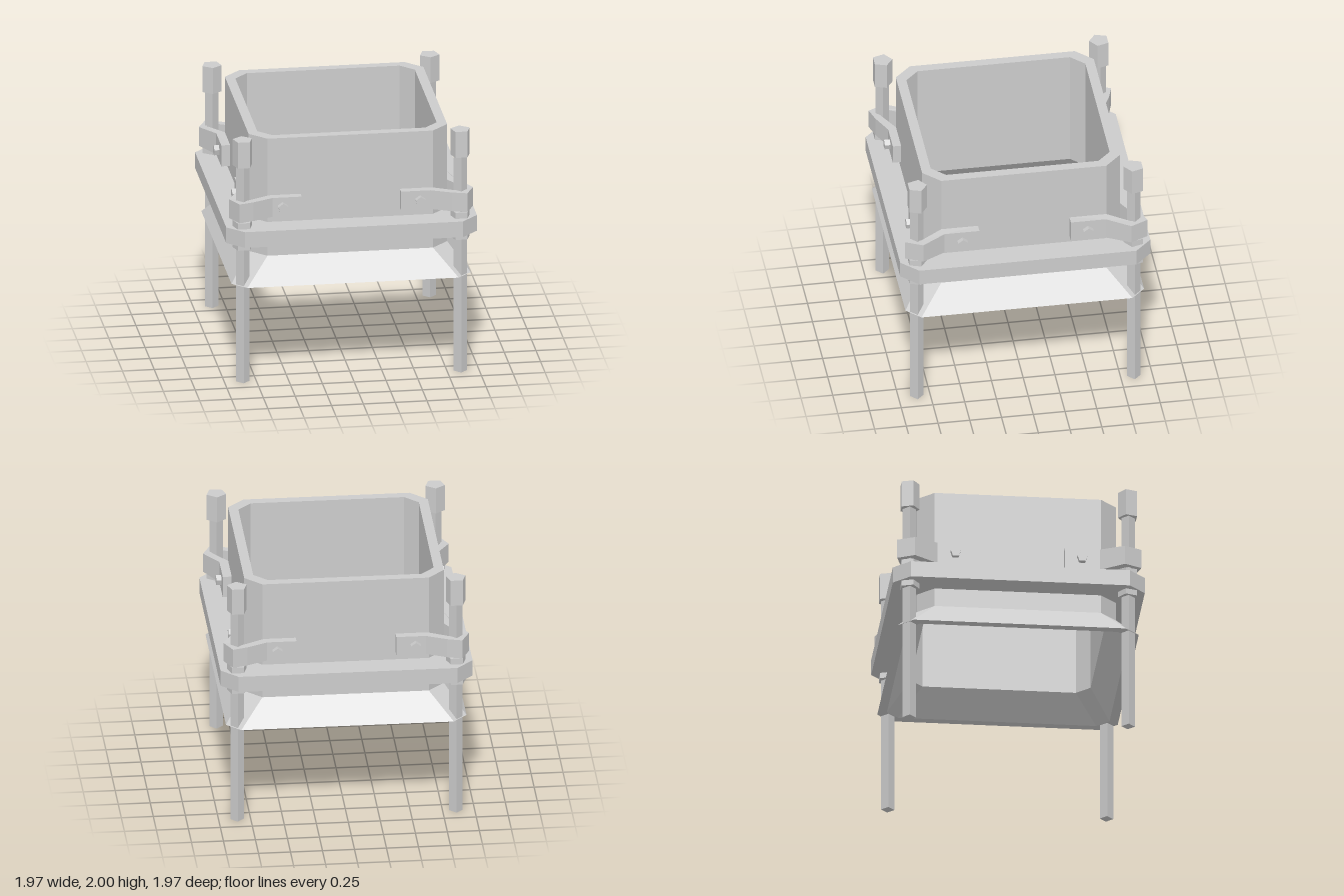
import * as THREE from 'three';

const material = new THREE.MeshStandardMaterial({ color: 0xcccccc, flatShading: true });
const POST = 0.855; // post distance from each centre plane

function add(parent, name, geometry, x = 0, y = 0, z = 0) {
  const mesh = new THREE.Mesh(geometry, material);
  mesh.name = name;
  mesh.position.set(x, y, z);
  parent.add(mesh);
  return mesh;
}

// Square with cut corners: h = half width, c = half length of the straight side
const octagon = (h, c) => [[h, -c], [h, c], [c, h], [-c, h], [-h, c], [-h, -c], [-c, -h], [c, -h]];

// Closed band through sections [h, c, y]: up the outside, down the inside
function squareBand(sections) {
  const positions = [], index = [], n = sections.length;
  for (const [h, c, y] of sections) {
    for (const [x, z] of octagon(h, c)) positions.push(x, y, z);
  }
  for (let s = 0; s < n; s++) {
    for (let i = 0; i < 8; i++) {
      const j = (i + 1) % 8, lo = s * 8, hi = ((s + 1) % n) * 8;
      index.push(lo + i, hi + i, lo + j, hi + i, hi + j, lo + j);
    }
  }
  const indexed = new THREE.BufferGeometry();
  indexed.setAttribute('position', new THREE.Float32BufferAttribute(positions, 3));
  indexed.setIndex(index);
  const geometry = indexed.toNonIndexed();
  geometry.computeVertexNormals();
  return geometry;
}

// Bent strap that wraps a corner post; its side tab is slightly taller
function bracketGeometry(sx, sz) {
  const outline = [
    [0.39, 0.845], [0.62, 0.845], [0.78, 0.92], [0.895, 0.955], [0.96, 0.82], [0.85, 0.635], [0.85, 0.36],
    [0.78, 0.36], [0.78, 0.65], [0.895, 0.83], [0.865, 0.89], [0.80, 0.865], [0.64, 0.78], [0.39, 0.78],
  ];
  const shape = new THREE.Shape(outline.map(([x, z]) => new THREE.Vector2(x * sx, z * sz)));
  const geometry = new THREE.ExtrudeGeometry(shape, { depth: 0.155, bevelEnabled: false });
  geometry.rotateX(Math.PI / 2).translate(0, 0.0775, 0);
  const p = geometry.attributes.position;
  for (let i = 0; i < p.count; i++) {
    if (Math.abs(p.getZ(i)) < 0.7) p.setY(i, p.getY(i) * 1.12);
  }
  geometry.computeVertexNormals();
  return geometry;
}

function createCorner(sx, sz) {
  const corner = new THREE.Group();
  corner.name = 'cornerPost';
  const x = POST * sx, z = POST * sz;

  // Threaded post with cap and clamping nuts
  add(corner, 'rod', new THREE.CylinderGeometry(0.053, 0.053, 1.85, 4), x, 0.925, z);
  const nuts = [['capNut', 1.785, 2], ['upperNut', 1.28, 1.33], ['lowerNut', 1.105, 1.15]];
  for (const [name, y0, y1] of nuts) {
    const nut = add(corner, name, new THREE.CylinderGeometry(0.08, 0.08, y1 - y0, 5), x, (y0 + y1) / 2, z);
    nut.rotation.y = sz > 0 ? Math.PI : 0;
  }

  // Strap and its two bolts
  add(corner, 'bracket', bracketGeometry(sx, sz), 0, 1.423, 0);
  const bolt = () => new THREE.CylinderGeometry(0.041, 0.041, 0.07, 5).rotateX(-Math.PI / 2);
  add(corner, 'bolt', bolt(), 0.54 * sx, 1.423, 0.855 * sz);
  add(corner, 'bolt', bolt().rotateY(Math.PI / 2), 0.855 * sx, 1.423, 0.495 * sz);
  return corner;
}

export function createModel() {
  const model = new THREE.Group();
  model.name = 'adjustableFrame';

  // Square duct with flared skirt
  add(model, 'flaredDuct', squareBand([
    [0.94, 0.83, 0.8], [0.78, 0.65, 1], [0.78, 0.65, 1.97],
    [0.705, 0.6, 1.97], [0.705, 0.6, 1], [0.87, 0.775, 0.8],
  ]));

  // Flat frame around the duct
  add(model, 'supportFrame', squareBand([
    [0.985, 0.855, 1.15], [0.985, 0.855, 1.28], [0.775, 0.645, 1.28], [0.775, 0.645, 1.15],
  ]));

  for (const sx of [-1, 1]) {
    for (const sz of [-1, 1]) model.add(createCorner(sx, sz));
  }
  return model;
}
